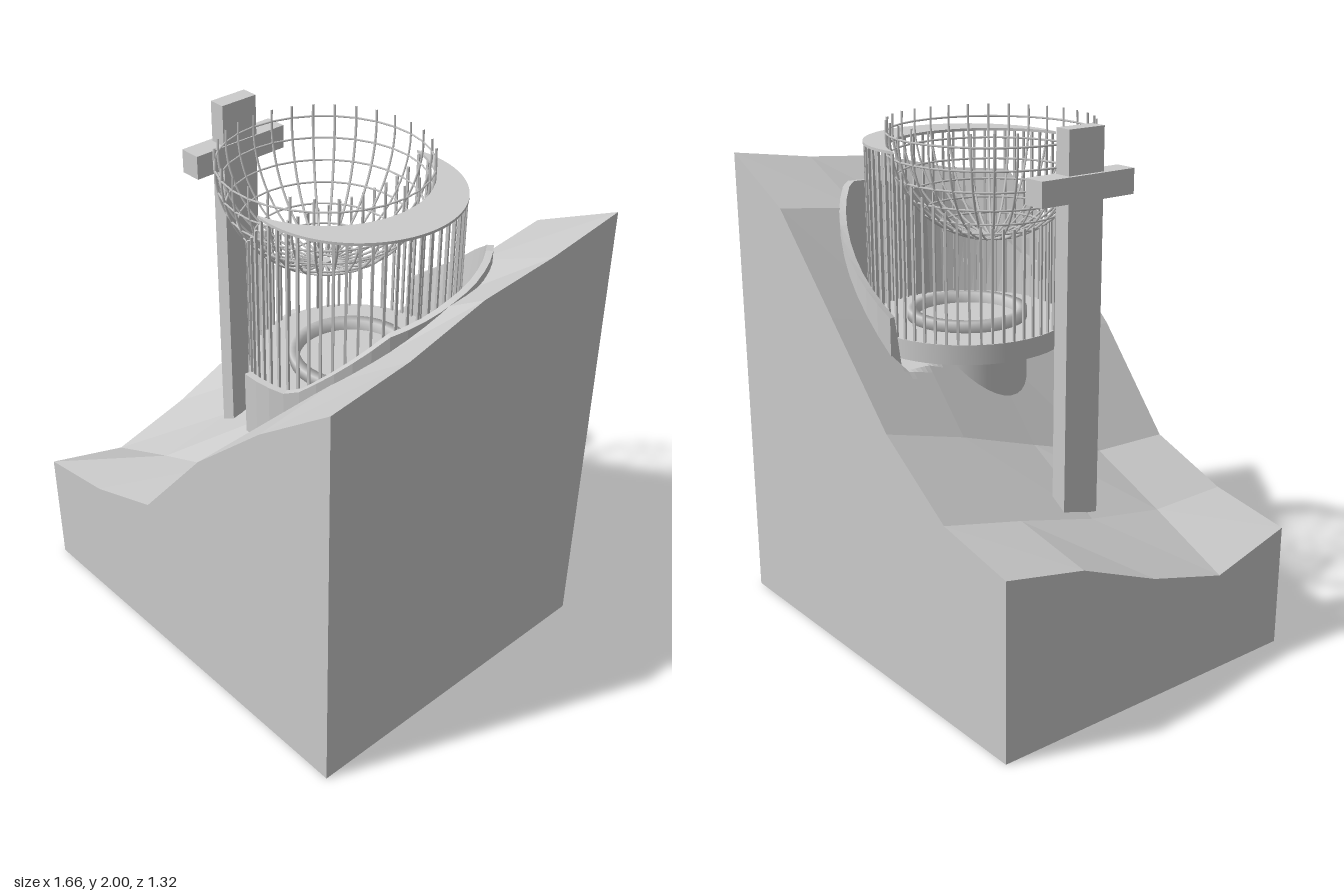
import * as THREE from 'three';
import { mergeGeometries } from 'three/addons/utils/BufferGeometryUtils.js';

const flat = new THREE.MeshStandardMaterial({ color: 0xcccccc, flatShading: true });
const smooth = new THREE.MeshStandardMaterial({ color: 0xcccccc });
const thin = new THREE.MeshStandardMaterial({ color: 0xcccccc, side: THREE.DoubleSide });

const W = 1.66, D = 1.32;                                // terrain plan
const DRUM = { x: 0.21, z: -0.03, r: 0.38 };             // cage centre
const BOWL = { x: 0.055, y: 1.925, z: -0.03, r: 0.38, h: 0.39 };
const PIT_R = 0.45, PIT_Y = 1.1;

// Hill heights, rows from back to front, columns from low to high end
const HILL = [
  [0.675, 0.745, 0.97, 1.31, 1.65, 1.81],
  [0.61, 0.67, 0.88, 1.23, 1.61, 1.76],
  [0.475, 0.585, 0.77, 1.12, 1.53, 1.73],
  [0.385, 0.53, 0.665, 1.06, 1.40, 1.645],
  [0.48, 0.535, 0.655, 1.05, 1.35, 1.60],
];

function hillHeight(x, z) {
  const u = (x / W + 0.5) * 5, v = (z / D + 0.5) * 4;
  const i = Math.min(4, Math.max(0, Math.floor(u + 1e-5)));
  const j = Math.min(3, Math.max(0, Math.floor(v + 1e-5)));
  const a = u - i, b = v - j;
  const h00 = HILL[j][i], h10 = HILL[j][i + 1], h01 = HILL[j + 1][i], h11 = HILL[j + 1][i + 1];
  return a + b <= 1
    ? h00 + a * (h10 - h00) + b * (h01 - h00)
    : h11 + (1 - a) * (h01 - h11) + (1 - b) * (h10 - h11);
}

function add(parent, name, geometry, material, x = 0, y = 0, z = 0) {
  const mesh = new THREE.Mesh(geometry, material);
  mesh.name = name;
  mesh.position.set(x, y, z);
  parent.add(mesh);
  return mesh;
}

// Faceted hill block with a level pit cut into its slope
function terrainGeometry() {
  const g = new THREE.BoxGeometry(W, 1, D, 80, 1, 64);
  const p = g.attributes.position;
  for (let i = 0; i < p.count; i++) {
    const x = p.getX(i), z = p.getZ(i);
    let y = 0;
    if (p.getY(i) > 0) {
      y = hillHeight(x, z);
      if (Math.hypot(x - DRUM.x, z - DRUM.z) < PIT_R) y = Math.min(y, PIT_Y);
    }
    p.setY(i, y);
  }
  g.computeVertexNormals();
  return g;
}

// Curved wall holding back the slope: sloped inner face, top follows the hill
function retainingWallGeometry() {
  const tops = [[-108, 1.30], [-85, 1.44], [-62, 1.59], [-40, 1.70], [-20, 1.68], [0, 1.65],
    [30, 1.58], [50, 1.45], [70, 1.32], [95, 1.32]];
  const topAt = (deg) => {
    let k = 0;
    while (k < tops.length - 2 && deg > tops[k + 1][0]) k++;
    const [a, ya] = tops[k], [b, yb] = tops[k + 1];
    return ya + (yb - ya) * (deg - a) / (b - a);
  };
  const n = 28, pos = [], idx = [];
  for (let i = 0; i <= n; i++) {
    const deg = -108 + 203 * i / n, t = THREE.MathUtils.degToRad(deg), top = topAt(deg);
    for (const [r, y] of [[0.475, 1.08], [0.475, top], [0.45, top], [0.41, 1.08]]) {
      pos.push(DRUM.x + r * Math.cos(t), y, DRUM.z + r * Math.sin(t));
    }
  }
  for (let i = 0; i < n; i++) {
    for (let k = 0; k < 4; k++) {
      const a = i * 4 + k, b = i * 4 + (k + 1) % 4, c = a + 4, d = b + 4;
      idx.push(a, b, c, b, d, c);
    }
  }
  const e = n * 4;
  idx.push(0, 3, 2, 0, 2, 1, e, e + 1, e + 2, e, e + 2, e + 3);
  const g = new THREE.BufferGeometry();
  g.setAttribute('position', new THREE.Float32BufferAttribute(pos, 3));
  g.setIndex(idx);
  g.computeVertexNormals();
  return g;
}

// Flat ring with square edges
function ringGeometry(inner, outer, y0, y1) {
  const pts = [[inner, y0], [outer, y0], [outer, y1], [inner, y1], [inner, y0]];
  return new THREE.LatheGeometry(pts.map(([r, y]) => new THREE.Vector2(r, y)), 48);
}

// Upright bars, cut short where they meet the bowl
function barsGeometry() {
  const bars = [], n = 56, r = 0.373;
  for (let i = 0; i < n; i++) {
    const t = (i + 0.5) / n * Math.PI * 2;
    const x = DRUM.x + r * Math.cos(t), z = DRUM.z + r * Math.sin(t);
    const d = Math.hypot(x - BOWL.x, z - BOWL.z) / BOWL.r;
    const top = d < 1 ? Math.min(1.87, BOWL.y - BOWL.h * Math.sqrt(1 - d * d)) : 1.87;
    const bar = new THREE.BoxGeometry(0.009, top - 1.19, 0.009);
    bar.rotateY(-t);
    bar.translate(x, (top + 1.19) / 2, z);
    bars.push(bar);
  }
  return mergeGeometries(bars);
}

// Crescent roof: the drum's disc less the bowl's circle
function roofGeometry() {
  const half = (DRUM.x - BOWL.x) / 2, a = Math.acos(-half / DRUM.r), b = Math.PI - a;
  const s = new THREE.Shape();
  s.absarc(DRUM.x, 0, DRUM.r, -a, a, false);
  s.absarc(BOWL.x, 0, BOWL.r, b, -b, true);
  const g = new THREE.ExtrudeGeometry(s, { depth: 0.01, bevelEnabled: false, curveSegments: 32 });
  return g.rotateX(Math.PI / 2);
}

// Open wire bowl of ribs and hoops
function bowl() {
  const group = new THREE.Group();
  group.name = 'wireBowl';
  group.position.set(BOWL.x, BOWL.y, BOWL.z);
  const at = (deg) => {
    const t = THREE.MathUtils.degToRad(deg);
    return [BOWL.r * Math.sin(t), -BOWL.h * Math.cos(t)];
  };
  const ribs = [], hoops = [];
  const path = [];
  for (let k = 0; k <= 8; k++) {
    const [r, y] = at(6 + 91 * k / 8);
    path.push(new THREE.Vector3(r, y, 0));
  }
  const rib = new THREE.TubeGeometry(new THREE.CatmullRomCurve3(path), 16, 0.0048, 4);
  for (let i = 0; i < 30; i++) ribs.push(rib.clone().rotateY(i / 30 * Math.PI * 2));
  for (let deg = 6; deg <= 90; deg += 12) {
    const [r, y] = at(deg);
    hoops.push(new THREE.TorusGeometry(r, 0.004, 4, 30).rotateX(Math.PI / 2).translate(0, y, 0));
  }
  add(group, 'bowlRibs', mergeGeometries(ribs), smooth);
  add(group, 'bowlHoops', mergeGeometries(hoops), smooth);
  add(group, 'bowlHub', new THREE.CylinderGeometry(0.025, 0.025, 0.012, 6), flat, 0, -BOWL.h, 0);
  return group;
}

export function createModel() {
  const model = new THREE.Group();
  model.name = 'hillsidePavilion';

  add(model, 'terrain', terrainGeometry(), flat);
  add(model, 'retainingWall', retainingWallGeometry(), new THREE.MeshStandardMaterial({
    color: 0xcccccc, flatShading: true, side: THREE.DoubleSide }));

  // Cage drum on its stem
  const drum = new THREE.Group();
  drum.name = 'cageDrum';
  model.add(drum);
  add(drum, 'floorSlab', new THREE.CylinderGeometry(DRUM.r, DRUM.r, 0.075, 48), smooth, DRUM.x, 1.1575, DRUM.z);
  add(drum, 'stem', new THREE.CylinderGeometry(0.23, 0.23, 0.45, 40), smooth, DRUM.x, 0.9, DRUM.z);
  add(drum, 'floorRim', ringGeometry(0.195, 0.23, 1.19, 1.235), thin, DRUM.x, 0, DRUM.z);
  add(drum, 'cageBars', barsGeometry(), flat);
  add(drum, 'crescentRoof', roofGeometry(), flat, 0, 1.878, DRUM.z);

  model.add(bowl());

  // Post with crossbeam
  add(model, 'post', new THREE.BoxGeometry(0.065, 1.415, 0.155), flat, -0.4375, 1.2925, -0.033);
  add(model, 'crossbeam', new THREE.BoxGeometry(0.085, 0.09, 0.41), flat, -0.4425, 1.8, -0.033);
  return model;
}
